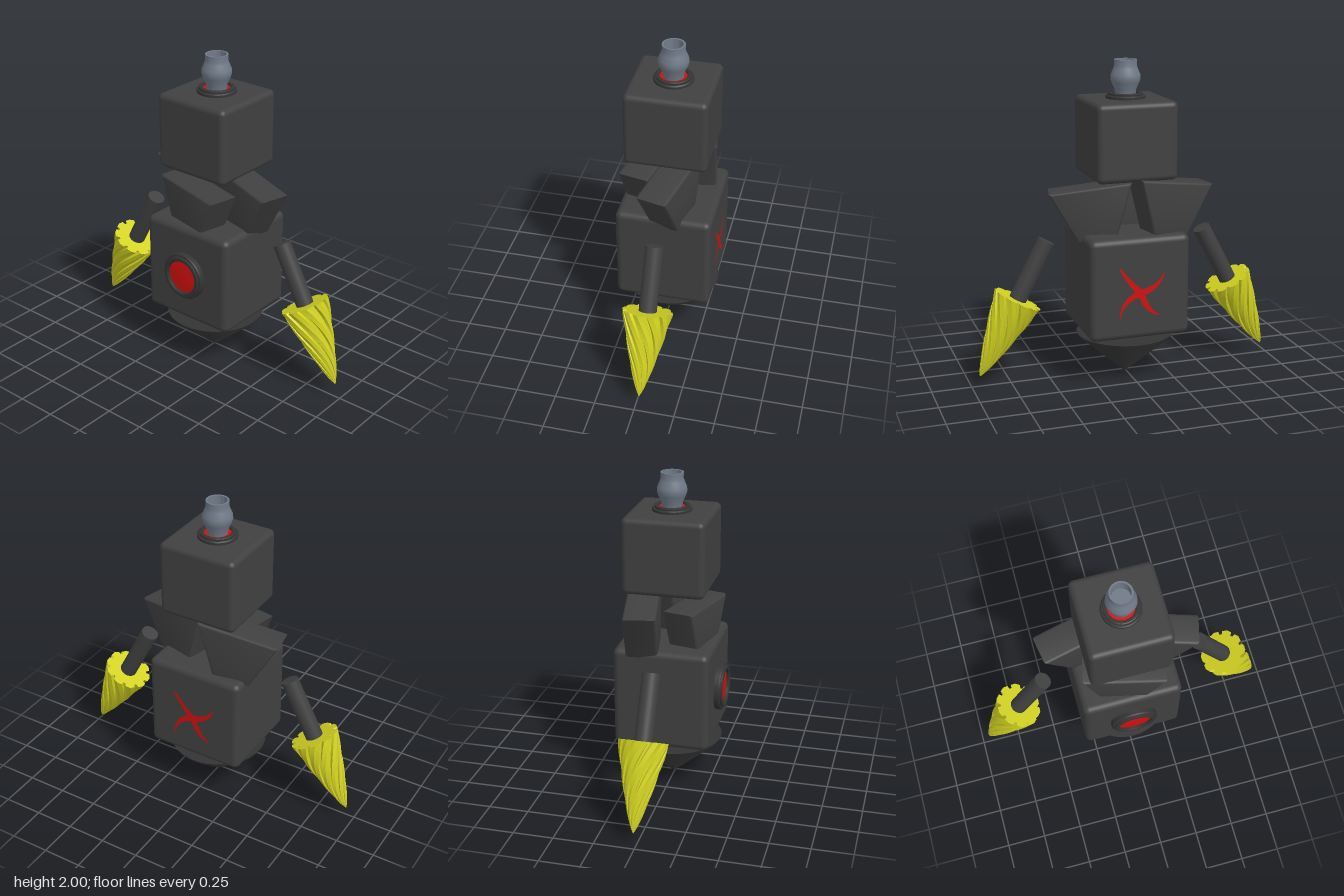
import * as THREE from 'three';
import { toCreasedNormals } from 'three/addons/utils/BufferGeometryUtils.js';
import { RoundedBoxGeometry } from 'three/addons/geometries/RoundedBoxGeometry.js';

const paint = (name, color, side = THREE.FrontSide) => {
  const m = new THREE.MeshStandardMaterial({ color, side });
  m.name = name;
  return m;
};

const CENTRE_Z = -0.02;

function part(parent, name, geometry, material, x = 0, y = 0, z = 0) {
  const mesh = new THREE.Mesh(geometry, material);
  mesh.name = name;
  mesh.position.set(x, y, z);
  parent.add(mesh);
  return mesh;
}

// Turned shape from [radius, height] pairs listed bottom to top
function turned(pairs, crease = 0.5, sides = 40) {
  const points = pairs.map(([r, y]) => new THREE.Vector2(r, y));
  return toCreasedNormals(new THREE.LatheGeometry(points, sides), crease);
}

// Stepped spike under the body
function steppedCone(radius, height, steps) {
  const pairs = [[0, 0]];
  for (let i = 1; i <= steps; i++) {
    const r = (radius * i) / steps;
    pairs.push([r - 0.012, (height * (i - 0.9)) / steps], [r, (height * i) / steps]);
  }
  pairs.push([0, height]);
  return turned(pairs);
}

// Wedge block: trapezoid with a narrow foot, origin in the middle of its top edge
function wedgeGeometry(top, foot, height, depth) {
  const b = 0.02;
  const shape = new THREE.Shape([
    new THREE.Vector2(-top / 2 + b * 1.6, -b),
    new THREE.Vector2(-foot / 2 + b, -height + b),
    new THREE.Vector2(foot / 2 - b, -height + b),
    new THREE.Vector2(top / 2 - b * 1.6, -b),
  ]);
  const geometry = new THREE.ExtrudeGeometry(shape, {
    depth: depth - 2 * b, bevelSize: b, bevelThickness: b, bevelSegments: 3,
  });
  geometry.translate(0, 0, -depth / 2 + b);
  return toCreasedNormals(geometry, 0.6);
}

// Twisted drill bit with a gear-shaped base at y = 0 and its tip at y = -length
function drillGeometry(radius, length, teeth, rows, twist) {
  const positions = [];
  const index = [];
  const tooth = [[0, 1], [0.36, 1.04], [0.7, 1.0], [0.76, 0.85], [0.95, 0.85]];
  const n = teeth * tooth.length;
  for (let j = 0; j <= rows; j++) {
    const t = j / rows;
    const r = Math.max(0.002, radius * Math.pow(1 - t, 0.75));
    for (let i = 0; i < n; i++) {
      const [offset, scale] = tooth[i % tooth.length];
      const a = ((Math.floor(i / tooth.length) + offset) / teeth) * Math.PI * 2 - twist * t;
      positions.push(Math.cos(a) * r * scale, -length * t, Math.sin(a) * r * scale);
    }
  }
  const centre = positions.length / 3;
  positions.push(0, 0, 0);
  for (let i = 0; i < n; i++) {
    const k = (i + 1) % n;
    index.push(centre, k, i);
    for (let j = 0; j < rows; j++) {
      const a = j * n + i, b = j * n + k;
      index.push(a, b, a + n, b, b + n, a + n);
    }
  }
  const geometry = new THREE.BufferGeometry();
  geometry.setAttribute('position', new THREE.Float32BufferAttribute(positions, 3));
  geometry.setIndex(index);
  return toCreasedNormals(geometry, 0.45);
}

// Tapered, bent stroke running from the origin to a tip
function strokeShape(bx, by, tx, ty) {
  const len = Math.hypot(bx, by);
  const nx = (-by / len) * 0.022, ny = (bx / len) * 0.022;
  const ex = nx * 0.3, ey = ny * 0.3;
  const shape = new THREE.Shape();
  shape.moveTo(-nx, -ny);
  shape.quadraticCurveTo(bx - nx * 0.8, by - ny * 0.8, tx - ex, ty - ey);
  shape.lineTo(tx + ex, ty + ey);
  shape.quadraticCurveTo(bx + nx * 0.8, by + ny * 0.8, nx, ny);
  return shape;
}

export function createModel() {
  const stone = paint('charcoal', 0x404040);
  const trim = paint('dark trim', 0x343434);
  const red = paint('red', 0xd01010);
  const yellow = paint('yellow', 0xd2d222);
  const steel = paint('blue grey', 0x707a88, THREE.DoubleSide);

  const model = new THREE.Group();
  model.name = 'drillRobot';

  // Body and head blocks
  part(model, 'body', new RoundedBoxGeometry(0.64, 0.64, 0.6, 4, 0.04), stone, 0, 0.635, CENTRE_Z);
  part(model, 'head', new RoundedBoxGeometry(0.51, 0.48, 0.51, 4, 0.035), stone, 0, 1.527, CENTRE_Z);
  part(model, 'bottomSpike', steppedCone(0.31, 0.27, 11), trim, 0, 0, -0.01);

  // Wedges between body and head: position, yaw, tilt
  const wedge = wedgeGeometry(0.53, 0.25, 0.34, 0.2);
  [
    ['rightWedge', -0.25, 1.27, -0.145, 0.18, 0.14],
    ['leftWedge', 0.24, 1.245, -0.05, -0.25, -0.13],
    ['frontWedge', -0.02, 1.195, 0.13, -0.22, -0.04],
  ].forEach(([name, x, y, z, yaw, tilt]) => {
    part(model, name, wedge, stone, x, y, z).rotation.set(0, yaw, tilt, 'YXZ');
  });

  // Chest lamp: stepped ring with a recessed red lens
  const lamp = new THREE.Group();
  lamp.name = 'chestLamp';
  lamp.position.set(0, 0.635, 0.275);
  lamp.rotation.x = Math.PI / 2;
  model.add(lamp);
  part(lamp, 'lampRing', turned([
    [0.152, 0], [0.152, 0.034], [0.146, 0.042], [0.136, 0.042], [0.136, 0.052],
    [0.13, 0.056], [0.114, 0.056], [0.107, 0.05], [0.107, 0.03],
  ]), trim);
  part(lamp, 'lampLens', turned([[0.108, 0.036], [0.06, 0.04], [0, 0.042]], 1), red);

  // Socket and open pipe on top of the head
  part(model, 'neckSocket', turned([
    [0.122, 0], [0.122, 0.016], [0.115, 0.022], [0.108, 0.022], [0.108, 0.032],
    [0.102, 0.036], [0.088, 0.036], [0.083, 0.03], [0.083, 0.015],
  ]), trim, 0, 1.765, CENTRE_Z);
  part(model, 'socketLens', turned([[0.084, 0], [0, 0.002]]), red, 0, 1.788, CENTRE_Z);
  part(model, 'topPipe', turned([
    [0.062, 1.785], [0.066, 1.82], [0.085, 1.86], [0.092, 1.885], [0.09, 1.91],
    [0.075, 1.945], [0.069, 1.965], [0.07, 2], [0.058, 2], [0.056, 1.93], [0, 1.93],
  ], 0.8), steel, 0, 0, CENTRE_Z);

  // Painted four-armed mark on the back
  const strokes = [
    [-0.06, 0.05, -0.134, 0.16],
    [0.11, 0.02, 0.15, 0.11],
    [-0.13, -0.04, -0.135, -0.155],
    [0.04, -0.13, 0.118, -0.15],
  ].map((s) => strokeShape(...s));
  const mark = part(model, 'backMark', new THREE.ShapeGeometry(strokes, 10), red, 0, 0.61, -0.323);
  mark.rotation.y = Math.PI;
  mark.material = red;

  // Mirrored arms, each a rod ending in a drill
  const rod = new THREE.CylinderGeometry(0.055, 0.055, 0.42, 28);
  const drill = drillGeometry(0.15, 0.537, 10, 26, 1.9);
  [['leftArm', 1], ['rightArm', -1]].forEach(([name, side]) => {
    const mirror = new THREE.Group();
    mirror.name = name;
    mirror.scale.x = side;
    const arm = new THREE.Group();
    arm.name = name + 'Pose';
    arm.position.set(0.7, 0.55, CENTRE_Z);
    arm.rotation.z = 0.484;
    part(arm, 'armRod', rod, stone, 0, 0.193, 0);
    part(arm, 'drillBit', drill, yellow);
    mirror.add(arm);
    model.add(mirror);
  });

  return model;
}
